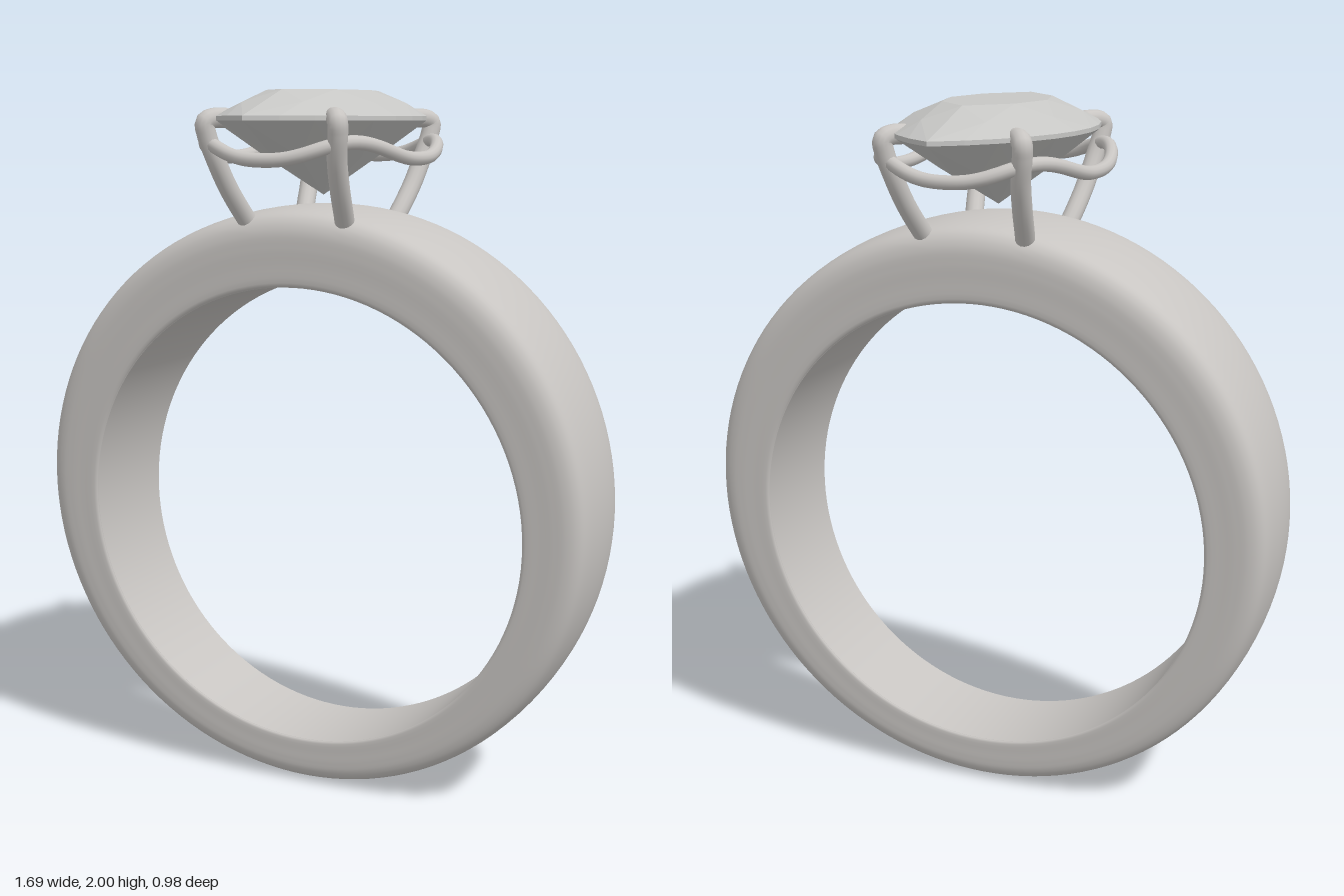
import * as THREE from 'three';
import { ParametricGeometry } from 'three/addons/geometries/ParametricGeometry.js';
import { ConvexGeometry } from 'three/addons/geometries/ConvexGeometry.js';

const metal = new THREE.MeshStandardMaterial({ color: 0xc8c5c2 });
metal.name = 'metal';
const gem = new THREE.MeshStandardMaterial({ color: 0xc6c6c4, flatShading: true });
gem.name = 'gem';

function add(parent, name, geometry, material) {
  const mesh = new THREE.Mesh(geometry, material);
  mesh.name = name;
  parent.add(mesh);
  return mesh;
}

// Point on the band: angle from the top, t = 0 inside to 1 outside, w = -1..1 across.
// The two circles are eccentric, so the band is thicker and wider at the top.
function bandPoint(angle, t, w, target) {
  const r = THREE.MathUtils.lerp(0.665, 0.843, t);
  const cy = THREE.MathUtils.lerp(0.804, 0.845, t);
  const y = cy + r * Math.cos(angle);
  const halfWidth = 0.143 + 0.049 * Math.min(y, 1.62);
  target.set(r * Math.sin(angle), y, w * halfWidth);
}

function buildBand() {
  const band = new THREE.Group();
  band.name = 'band';
  // domed outside with rounded shoulders
  const half = [[0, 0.965], [0.06, 1], [0.3, 1], [0.5, 1], [0.68, 0.985], [0.82, 0.93],
    [0.91, 0.83], [0.96, 0.65], [0.99, 0.35]];
  const points = [...half, [1, 0], ...half.slice().reverse().map(([t, w]) => [t, -w])];
  const profile = new THREE.SplineCurve(points.map(([t, w]) => new THREE.Vector2(t, w)));
  add(band, 'bandOutside', new ParametricGeometry((u, v, target) => {
    const p = profile.getPoint(v);
    bandPoint(u * Math.PI * 2, p.x, p.y, target);
  }, 128, 54), metal);
  // straight bore
  add(band, 'bandInside', new ParametricGeometry((u, v, target) => {
    bandPoint(u * Math.PI * 2, 0, (v * 2 - 1) * 0.965, target);
  }, 128, 2), metal);
  return band;
}

// Marquise outline made of two arcs meeting at the z tips.
function marquise(perSide, scale, y, offset = 0) {
  const R = 0.58, phi = Math.asin(0.488 / R), points = [];
  for (const side of [1, -1]) {
    for (let i = 0; i < perSide; i++) {
      const a = phi * (2 * (i + offset) / perSide - 1);
      points.push(new THREE.Vector3(
        side * scale * (R * Math.cos(a) - R * Math.cos(phi)), y, side * scale * R * Math.sin(a)));
    }
  }
  return points;
}

function buildStone() {
  return new ConvexGeometry([
    ...marquise(4, 0.53, 2.0), // table
    ...marquise(4, 0.81, 1.966, 0.5), // crown
    ...marquise(12, 1, 1.93), // girdle
    ...marquise(12, 1, 1.918),
    ...marquise(6, 0.55, 1.822, 0.5), // pavilion
    new THREE.Vector3(0, 1.713, 0),
  ]);
}

// Claw prong, rising from the shoulder and hooking over the girdle.
function buildProng(sx, sz) {
  const prong = new THREE.Group();
  prong.name = 'prong';
  const path = [[0.14, 1.62, 0.16], [0.152, 1.665, 0.198], [0.167, 1.74, 0.258], [0.18, 1.82, 0.305],
    [0.192, 1.88, 0.327], [0.194, 1.913, 0.332], [0.18, 1.924, 0.312], [0.16, 1.925, 0.283]]
    .map(([x, y, z]) => new THREE.Vector3(x * sx, y, z * sz));
  add(prong, 'prongStem', new THREE.TubeGeometry(new THREE.CatmullRomCurve3(path), 48, 0.027, 14), metal);
  add(prong, 'prongTip', new THREE.SphereGeometry(0.027, 14, 10), metal).position.copy(path[path.length - 1]);
  return prong;
}

// Oval wire that rises at the four prongs and dips between them.
function buildGallery() {
  const points = [], n = 48;
  const squarish = (v) => Math.sign(v) * Math.abs(v) ** (2 / 2.5);
  for (let i = 0; i < n; i++) {
    const a = (i / n) * Math.PI * 2;
    points.push(new THREE.Vector3(
      0.288 * squarish(Math.cos(a)), 1.839 - 0.023 * Math.cos(4 * a), 0.373 * squarish(Math.sin(a))));
  }
  return new THREE.TubeGeometry(new THREE.CatmullRomCurve3(points, true), 120, 0.019, 12, true);
}

export function createModel() {
  const ring = new THREE.Group();
  ring.name = 'ring';
  ring.add(buildBand());
  add(ring, 'stone', buildStone(), gem);
  add(ring, 'galleryWire', buildGallery(), metal);
  for (const sx of [1, -1]) for (const sz of [1, -1]) ring.add(buildProng(sx, sz));
  return ring;
}
